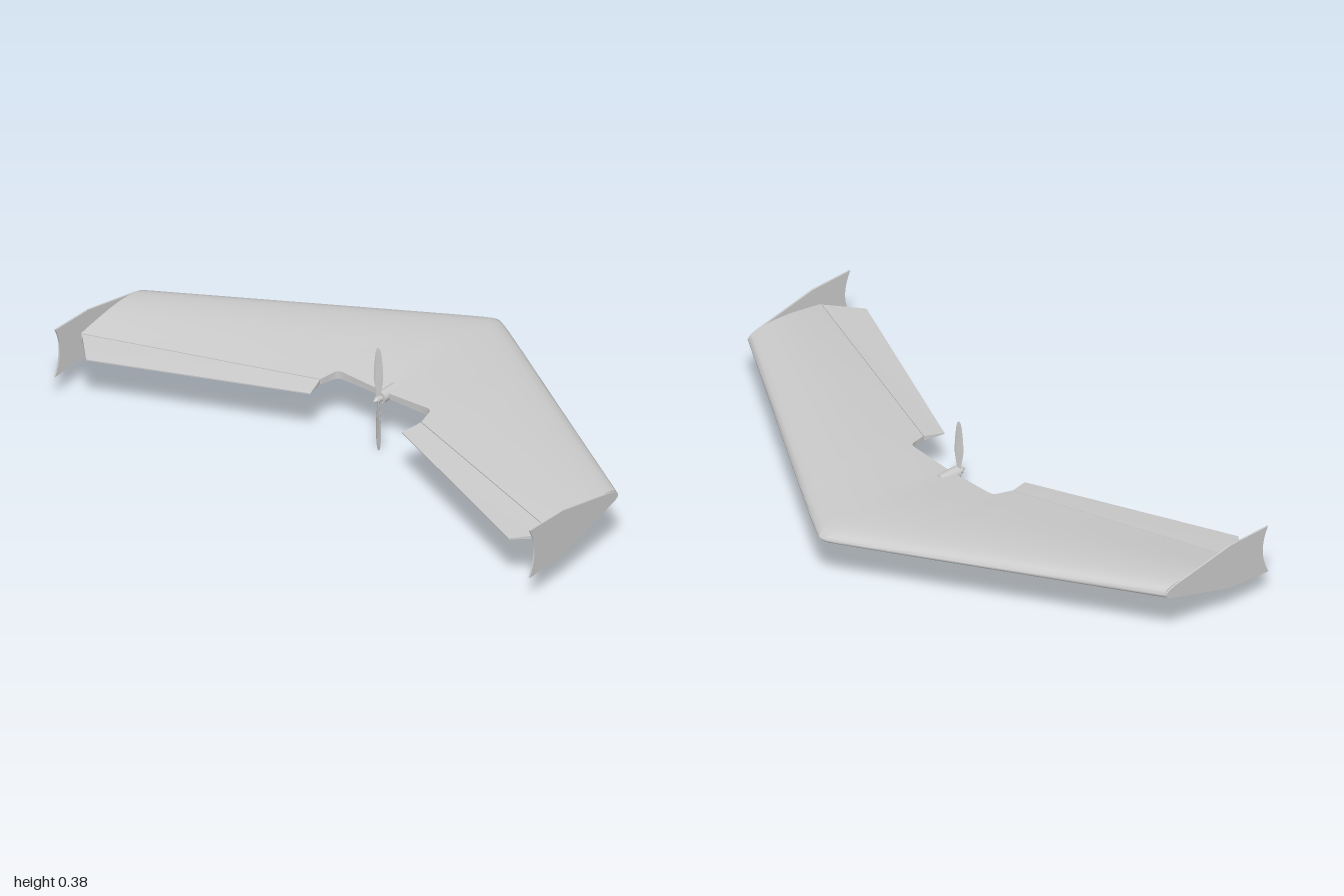
import * as THREE from 'three';
import { toCreasedNormals } from 'three/addons/utils/BufferGeometryUtils.js';

const material = new THREE.MeshStandardMaterial({ color: 0xcccccc });

function addMesh(parent, name, geometry) {
  const mesh = new THREE.Mesh(geometry, material);
  mesh.name = name;
  parent.add(mesh);
  return mesh;
}

// Skins closed cross-sections (counter-clockwise seen from +z, stacked along +z) and caps the ends.
function loft(rings, crease = 0.7) {
  const n = rings[0].length;
  const pos = rings.flat(2);
  const index = [];
  for (let r = 0; r < rings.length - 1; r++) {
    for (let i = 0; i < n; i++) {
      const a = r * n + i, b = r * n + (i + 1) % n;
      index.push(a, b, a + n, b, b + n, a + n);
    }
  }
  const last = (rings.length - 1) * n;
  for (let i = 0; i < n / 2 - 1; i++) {
    const j = n - 1 - i;
    index.push(i, j, i + 1, i + 1, j, j - 1);
    index.push(last + i, last + i + 1, last + j, last + i + 1, last + j - 1, last + j);
  }
  const g = new THREE.BufferGeometry();
  g.setAttribute('position', new THREE.Float32BufferAttribute(pos, 3));
  g.setIndex(index);
  return toCreasedNormals(g, crease);
}

// Linear lookup in a list of [key, value]
function lookup(table, k) {
  for (let i = 1; i < table.length; i++) {
    const [k0, v0] = table[i - 1], [k1, v1] = table[i];
    if (k <= k1) return v0 + (v1 - v0) * (k - k0) / (k1 - k0);
  }
  return table[table.length - 1][1];
}

// Airfoil heights by chord fraction, and the plan outline by span
const UPPER = [[0, 0.211], [0.01, 0.218], [0.04, 0.227], [0.1, 0.233], [0.17, 0.236], [0.27, 0.237],
  [0.4, 0.236], [0.55, 0.231], [0.7, 0.223], [0.85, 0.214], [1, 0.204]];
const LOWER = [[0, 0.205], [0.01, 0.199], [0.04, 0.193], [0.1, 0.187], [0.25, 0.181], [0.5, 0.18], [1, 0.184]];
const STEPS = UPPER.map(([u]) => u);
const NOTCH = [[0, -0.055], [0.18, -0.055], [0.193, -0.06], [0.2, -0.072], [0.205, -0.095], [0.212, -0.126]];
const leadingEdge = z => 0.52 - 0.612 * (Math.hypot(z, 0.02) - 0.02);
const hingeLine = z => -0.052 - 0.346 * z;

function wingSection(z) {
  const s = Math.abs(z), le = leadingEdge(s), hinge = hingeLine(s);
  const te = s < 0.212 ? Math.max(hinge, lookup(NOTCH, s)) : hinge;
  const cut = (le - te) / (le - hinge);
  const point = (u, table) => [le + (te - le) * u, lookup(table, u * cut), z];
  return [...STEPS.map(u => point(u, UPPER)), ...STEPS.map(u => point(u, LOWER)).reverse()];
}

export function createModel() {
  const model = new THREE.Group();
  model.name = 'flyingWing';

  // Swept wing with a notch for the propeller
  const half = [0.01, 0.02, 0.04, 0.08, 0.14, 0.18, 0.193, 0.2, 0.205, 0.212, 0.3, 0.5, 0.75, 0.994];
  const spans = [...half.map(z => -z).reverse(), 0, ...half];
  addMesh(model, 'wing', loft(spans.map(wingSection)));

  // Winglet outline, with a concave rear edge
  const fin = new THREE.Shape();
  fin.moveTo(-0.36, 0.275);
  fin.lineTo(-0.525, 0.275);
  fin.quadraticCurveTo(-0.478, 0.19, -0.527, 0.098);
  fin.lineTo(-0.36, 0.11);
  fin.lineTo(-0.1, 0.19);
  fin.quadraticCurveTo(-0.078, 0.198, -0.078, 0.208);
  fin.quadraticCurveTo(-0.078, 0.222, -0.12, 0.232);
  fin.closePath();

  for (const side of [1, -1]) {
    const label = side > 0 ? 'left' : 'right';

    // Elevon: a wedge hinged along the wing's rear edge
    const ends = [[-0.128, 0.212, -0.2, 0.192], [-0.397, 0.99, -0.498, 0.888]];
    const rings = ends.map(([hx, hz, tx, tz]) => [
      [hx, 0.203, hz * side], [tx, 0.192, tz * side], [tx, 0.188, tz * side], [hx, 0.185, hz * side]]);
    addMesh(model, label + 'Elevon', loft(side > 0 ? rings : rings.reverse(), 0.4));

    const plate = new THREE.ExtrudeGeometry(fin, { depth: 0.006, bevelEnabled: false, curveSegments: 10 });
    addMesh(model, label + 'Winglet', plate).position.z = side > 0 ? 0.994 : -1;
  }

  // Pusher motor, shaft and spinner, turned about the x axis
  const axisY = 0.1925;
  const drive = new THREE.Group();
  drive.name = 'motor';
  drive.position.y = axisY;
  model.add(drive);
  const turned = (name, rRear, rFront, x0, x1) => {
    const g = new THREE.CylinderGeometry(rFront, rRear, x1 - x0, 20).rotateZ(-Math.PI / 2);
    addMesh(drive, name, g).position.x = (x0 + x1) / 2;
  };
  turned('motorBody', 0.021, 0.021, -0.078, 0);
  turned('hub', 0.012, 0.012, -0.096, -0.078);
  turned('spinner', 0.002, 0.01, -0.112, -0.096);

  // Two twisted propeller blades
  const propeller = new THREE.Group();
  propeller.name = 'propeller';
  propeller.position.set(-0.087, axisY, 0);
  model.add(propeller);
  const chord = [[0, 0.007], [0.15, 0.009], [0.4, 0.016], [0.65, 0.015], [0.88, 0.011], [0.97, 0.007], [1, 0.002]];
  const blade = loft([0, 0.15, 0.28, 0.4, 0.52, 0.65, 0.78, 0.88, 0.97, 1].map(t => {
    const w = lookup(chord, t), thick = 0.004 - 0.0028 * t, twist = 0.6 - 0.45 * t;
    return Array.from({ length: 12 }, (_, i) => {
      const a = i / 12 * Math.PI * 2, x = thick * Math.cos(a), y = w * Math.sin(a);
      return [x * Math.cos(twist) - y * Math.sin(twist), x * Math.sin(twist) + y * Math.cos(twist), t * 0.1925];
    });
  }), 1);
  for (const side of [1, -1]) addMesh(propeller, 'blade', blade).rotation.x = -side * Math.PI / 2;

  return model;
}
